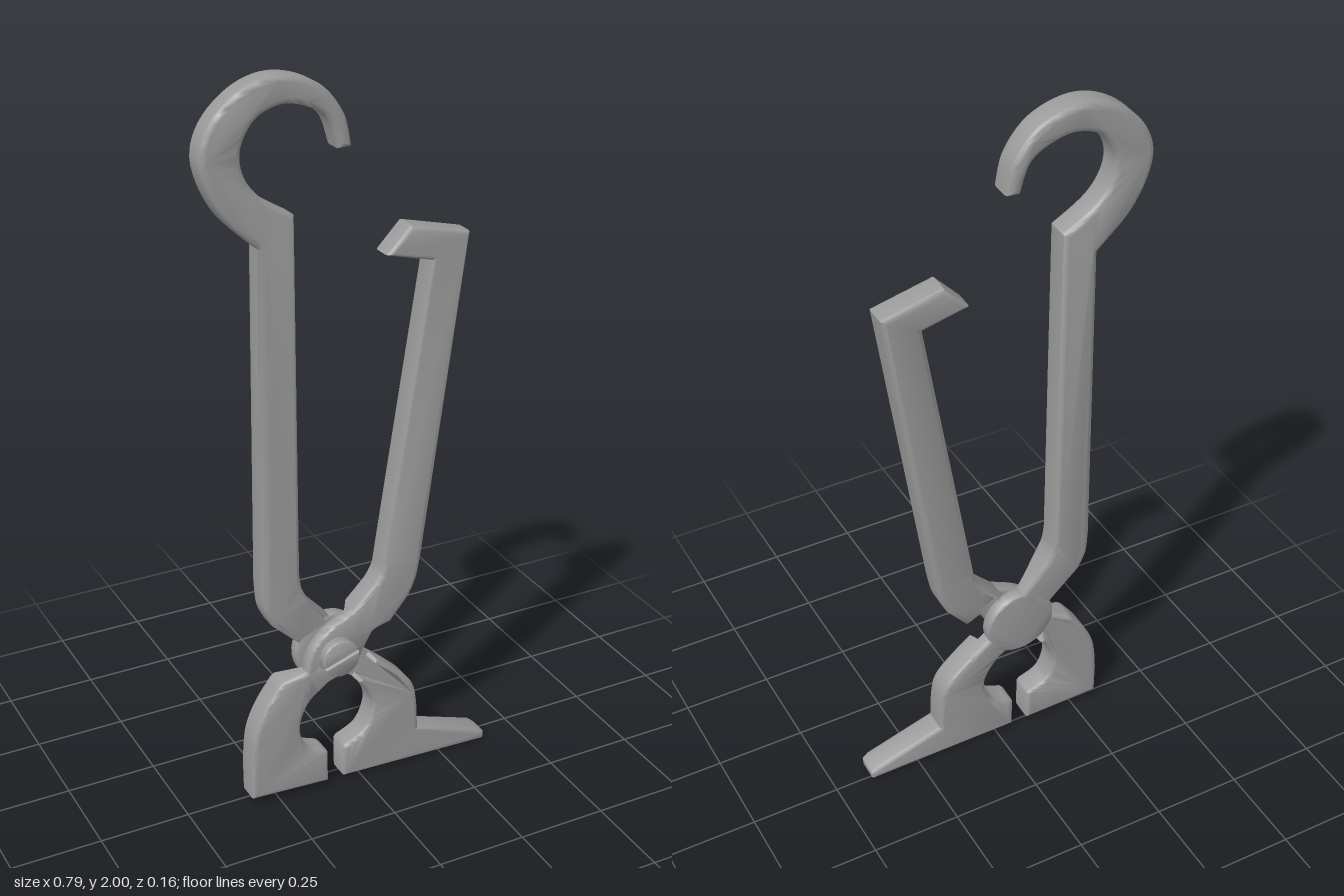
import * as THREE from 'three';
import { toCreasedNormals } from 'three/addons/utils/BufferGeometryUtils.js';

const material = new THREE.MeshStandardMaterial({ color: 0x9a9a9a });
const HALF = 0.0385; // half the thickness of the forged steel
const PIVOT = [-0.07, 0.414];

// Outline made of runs: three or more points are a smooth curve, fewer are straight
function outline(runs) {
  const shape = new THREE.Shape();
  runs.forEach((run, i) => {
    const pts = run.map(([x, y]) => new THREE.Vector2(x, y));
    if (i === 0) shape.moveTo(pts[0].x, pts[0].y);
    else shape.lineTo(pts[0].x, pts[0].y);
    if (pts.length > 2) shape.splineThru(pts.slice(1));
    else pts.slice(1).forEach((p) => shape.lineTo(p.x, p.y));
  });
  return shape;
}

// Plate with rounded edges between two depths; near the pivot it can be
// thinned to its rear (-1) or front (1) half, so that the levers cross
function plate(name, shape, z0, z1, bevel, keep = 0) {
  const geometry = new THREE.ExtrudeGeometry(shape, {
    depth: z1 - z0 - 2 * bevel, bevelEnabled: true, bevelThickness: bevel,
    bevelSize: bevel, bevelOffset: -bevel, bevelSegments: 3, curveSegments: 5,
  });
  geometry.translate(0, 0, z0 + bevel);
  const p = geometry.attributes.position;
  for (let i = 0; keep && i < p.count; i++) {
    const near = Math.hypot(p.getX(i) - PIVOT[0], p.getY(i) - PIVOT[1]) < 0.125;
    if (near && p.getZ(i) * keep < 0) p.setZ(i, 0);
  }
  const mesh = new THREE.Mesh(toCreasedNormals(geometry, 0.8), material);
  mesh.name = name;
  return mesh;
}

// Arc around the pivot, closed by its chord
function pivotArc(radius, from, to) {
  const points = [];
  for (let i = 0; i <= 32; i++) {
    const a = from + ((to - from) * i) / 32;
    points.push(new THREE.Vector2(PIVOT[0] + radius * Math.cos(a), PIVOT[1] + radius * Math.sin(a)));
  }
  return new THREE.Shape(points);
}

const disc = (radius) => pivotArc(radius, 0, Math.PI * 2 * (31 / 32));

// Half of the tool, leaning slightly about the ground line
function lever(name, lean, parts) {
  const group = new THREE.Group();
  group.name = name;
  group.add(...parts);
  group.rotation.set(lean, -0.012, 0);
  group.position.z = 0.019;
  return group;
}

export function createModel() {
  const model = new THREE.Group();
  model.name = 'pincers';

  // Handle ending in an open hook
  const hookHandle = outline([
    [[-0.254, 1.58], [-0.35, 1.68], [-0.397, 1.8], [-0.373, 1.895], [-0.29, 1.972],
      [-0.19, 1.999], [-0.085, 1.967], [-0.02, 1.89], [0, 1.803]],
    [[-0.036, 1.8], [-0.063, 1.878], [-0.12, 1.915], [-0.185, 1.926], [-0.25, 1.9],
      [-0.29, 1.836], [-0.285, 1.77], [-0.243, 1.71], [-0.157, 1.654]],
    [[-0.169, 0.68], [-0.163, 0.635], [-0.145, 0.595]],
    [[-0.08, 0.525], [-0.06, 0.49]],
    [[-0.14, 0.42], [-0.162, 0.452]],
    [[-0.25, 0.54], [-0.272, 0.59], [-0.277, 0.66]],
  ]);

  // Jaw with the long pointed foot
  const footJaw = outline([
    [[0.037, 0.375], [0.106, 0.317], [0.16, 0.26], [0.176, 0.2], [0.18, 0.106]],
    [[0.378, 0.04], [0.395, 0.025]],
    [[0.393, 0.004], [-0.053, 0.016]],
    [[-0.053, 0.106]],
    [[-0.045, 0.115], [0.01, 0.143], [0.037, 0.196], [0.035, 0.243], [0, 0.3], [-0.045, 0.333]],
    [[-0.055, 0.36], [0.005, 0.4]],
  ]);

  model.add(lever('hookLever', -0.0287, [
    plate('hookHandle', hookHandle, -HALF, HALF, 0.015, -1),
    plate('rearPivotDisc', disc(0.102), -HALF, 0.001, 0.008),
    plate('footJaw', footJaw, -HALF, HALF, 0.012, -1),
  ]));

  // Handle ending in a short inward claw
  const clawHandle = outline([
    [[0.086, 1.515], [0.212, 1.482]],
    [[0.075, 0.67], [0.066, 0.625], [0.045, 0.59]],
    [[-0.012, 0.534], [-0.035, 0.5]],
    [[0.01, 0.43], [0.037, 0.455]],
    [[0.095, 0.47]],
    [[0.15, 0.535], [0.173, 0.585], [0.187, 0.65]],
    [[0.322, 1.543], [0.153, 1.585]],
  ]);

  // Blunt jaw
  const bluntJaw = outline([
    [[-0.16, 0.38], [-0.228, 0.365]],
    [[-0.24, 0.355], [-0.286, 0.29], [-0.317, 0.217], [-0.328, 0.12]],
    [[-0.328, 0.026], [-0.1, 0.016]],
    [[-0.1, 0.11]],
    [[-0.108, 0.118], [-0.16, 0.143], [-0.181, 0.196], [-0.175, 0.243], [-0.148, 0.29], [-0.095, 0.333]],
    [[-0.07, 0.365], [-0.125, 0.405]],
  ]);

  // Half-thickness bridge over the pivot
  const frontLink = outline([
    [[-0.01, 0.532], [0.045, 0.58]],
    [[0.1, 0.49], [0.037, 0.455]],
    [[0.008, 0.405], [-0.02, 0.36], [-0.095, 0.333]],
    [[-0.155, 0.29], [-0.235, 0.345]],
    [[-0.16, 0.38], [-0.15, 0.42], [-0.13, 0.455], [-0.085, 0.495], [-0.01, 0.532]],
  ]);

  // Screw head: two half discs either side of a slot, over a thin base
  const screw = new THREE.Group();
  screw.name = 'screw';
  screw.add(plate('screwBase', disc(0.053), HALF - 0.005, HALF + 0.02, 0.004));
  const slot = Math.asin(0.006 / 0.053);
  for (const side of [0, Math.PI]) {
    const a = side + 0.33;
    const half = pivotArc(0.053, a + slot, a + Math.PI - slot);
    screw.add(plate('screwHeadHalf', half, HALF + 0.005, HALF + 0.029, 0.004));
  }

  model.add(lever('clawLever', -0.0185, [
    plate('clawHandle', clawHandle, -HALF, HALF, 0.015, 1),
    plate('frontLink', frontLink, -0.003, HALF, 0.008),
    plate('bluntJaw', bluntJaw, -HALF, HALF, 0.012, 1),
    screw,
  ]));

  return model;
}
